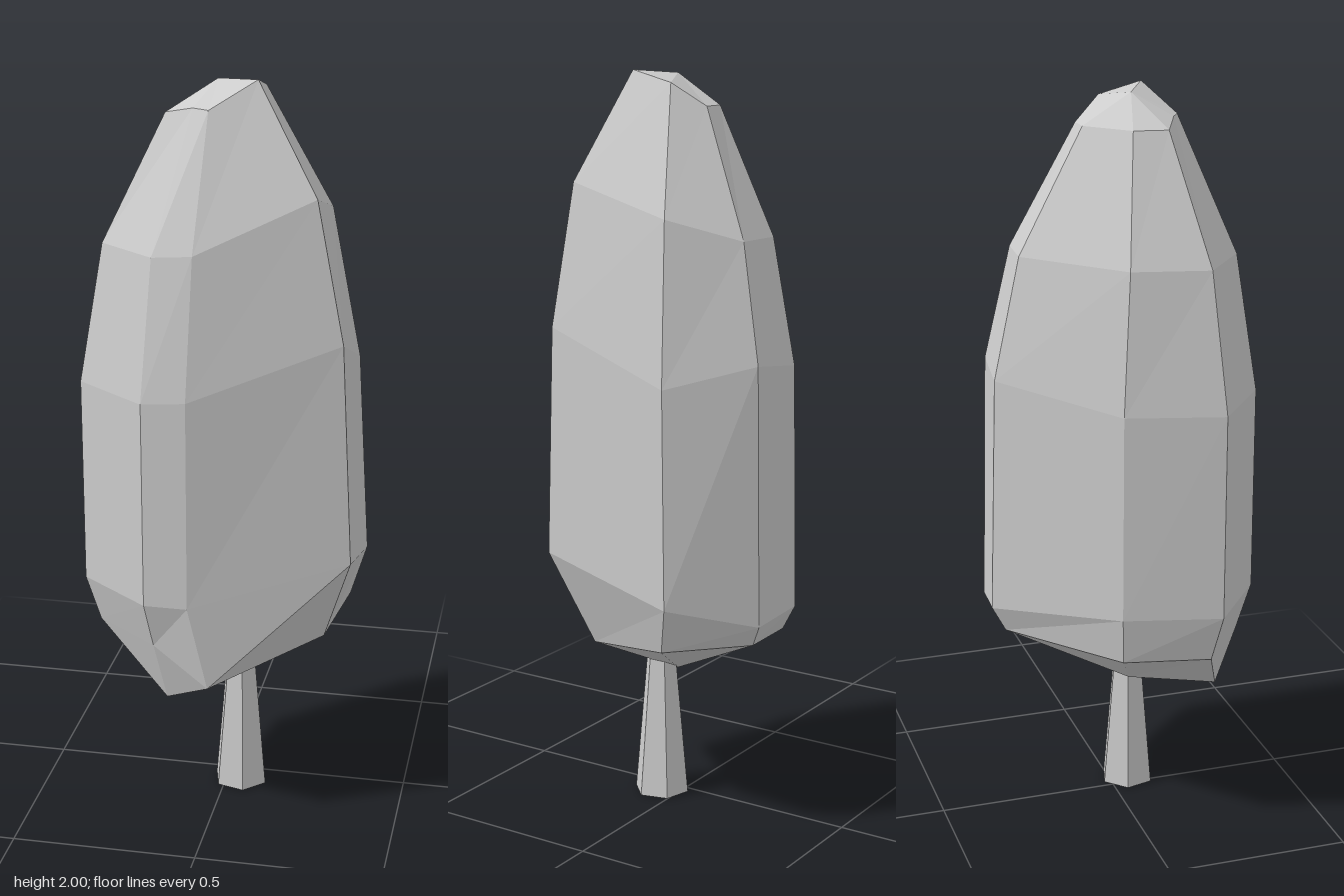
import * as THREE from 'three';

// Rings of the crown from bottom to top, each with eight [x, y, z] corners
// running from the left front corner counter-clockwise seen from above.
const underside = [-0.02, 0.345, 0.04];
const tip = [-0.025, 1.99, 0.04];
const keel = [-0.125, 0.345, 0.26];
const bottomRing = [keel, keel, ...Array(6).fill(underside)];
const lowRing = [
  [-0.33, 0.52, 0.17], [-0.15, 0.52, 0.31], [0, 0.415, 0.33], [0.28, 0.495, 0.11],
  [0.32, 0.52, -0.13], [0.14, 0.52, -0.3], [0, 0.53, -0.31], [-0.28, 0.52, -0.06],
];
const wideRing = [
  [-0.365, 0.65, 0.19], [-0.167, 0.65, 0.345], [-0.05, 0.65, 0.347], [0.36, 0.75, 0.2],
  [0.36, 0.65, -0.165], [0.16, 0.58, -0.33], [0, 0.6, -0.347], [-0.3, 0.65, -0.068],
];
const middleRing = [
  [-0.365, 1.21, 0.19], [-0.167, 1.21, 0.345], [-0.05, 1.22, 0.347], [0.33, 1.35, 0.2],
  [0.33, 1.22, -0.14], [0.15, 1.27, -0.315], [-0.01, 1.25, -0.33], [-0.297, 1.21, -0.065],
];
const shoulderRing = [
  [-0.305, 1.58, 0.165], [-0.147, 1.58, 0.29], [-0.04, 1.59, 0.3], [0.255, 1.72, 0.18],
  [0.255, 1.64, -0.1], [0.117, 1.58, -0.25], [-0.015, 1.58, -0.26], [-0.26, 1.58, -0.037],
];
const topRing = [
  [-0.15, 1.91, 0.1], [-0.07, 1.93, 0.14], [-0.025, 1.93, 0.165], [0.09, 2, 0.105],
  [0.09, 1.97, -0.012], [0.04, 1.91, -0.09], [-0.025, 1.91, -0.09], [-0.135, 1.91, 0.01],
];

// Joins neighbouring rings with triangles, skipping collapsed ones
function loft(rings) {
  const positions = [];
  const triangle = (a, b, c) => {
    if (a !== b && b !== c && a !== c) positions.push(...a, ...b, ...c);
  };
  for (let r = 0; r < rings.length - 1; r++) {
    const low = rings[r], high = rings[r + 1];
    for (let i = 0; i < low.length; i++) {
      const j = (i + 1) % low.length;
      triangle(low[i], low[j], high[j]);
      triangle(low[i], high[j], high[i]);
    }
  }
  const geometry = new THREE.BufferGeometry();
  geometry.setAttribute('position', new THREE.Float32BufferAttribute(positions, 3));
  geometry.computeVertexNormals();
  return geometry;
}

export function createModel() {
  const model = new THREE.Group();
  model.name = 'tree';
  const material = new THREE.MeshStandardMaterial({ color: 0xcccccc, flatShading: true });

  // Faceted crown closed by the underside and the tip
  const crown = new THREE.Mesh(loft([
    bottomRing, lowRing, wideRing, middleRing, shoulderRing, topRing, Array(8).fill(tip),
  ]), material);
  crown.name = 'crown';

  // Tapered six-sided trunk reaching into the crown
  const trunkGeometry = new THREE.CylinderGeometry(0.036, 0.077, 0.46, 6);
  trunkGeometry.rotateY(0.25);
  const trunk = new THREE.Mesh(trunkGeometry, material);
  trunk.position.set(0.04, 0.23, 0.055);
  trunk.name = 'trunk';

  model.add(crown, trunk);
  return model;
}
